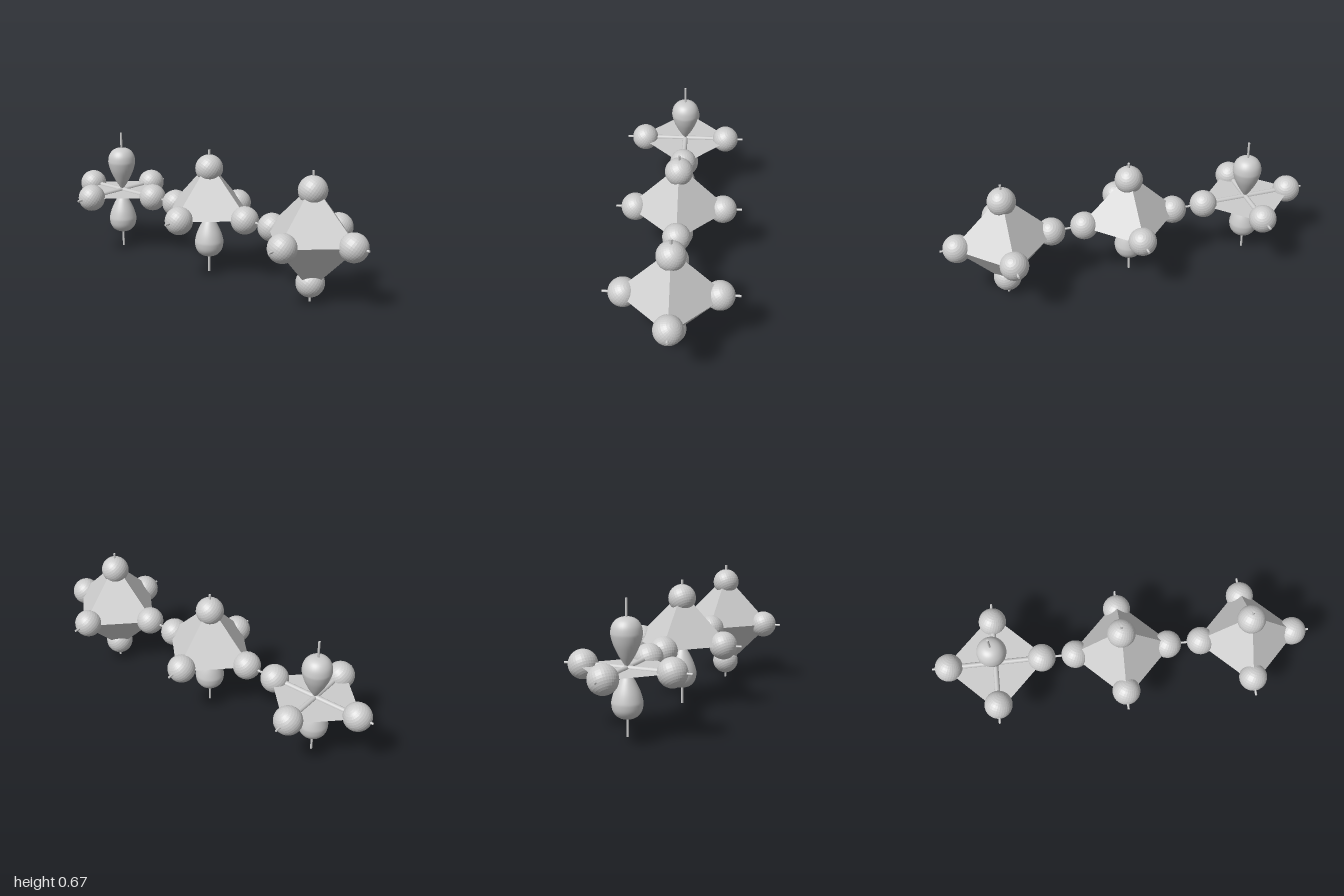
import * as THREE from 'three';

const CENTER_Y = 0.333, AXIS = 0.333, CORNER = 0.27, BALL = 0.073;
const REACH = { x: 0.232, y: 0.235, z: 0.245 };

const smooth = new THREE.MeshStandardMaterial({ color: 0xcccccc });
const faceted = new THREE.MeshStandardMaterial({ color: 0xcccccc, flatShading: true });
const sheet = new THREE.MeshStandardMaterial({ color: 0xcccccc, flatShading: true, side: THREE.DoubleSide });

const UP = new THREE.Vector3(0, 1, 0);
const DIRECTIONS = {
  right: new THREE.Vector3(-1, 0, 0), left: new THREE.Vector3(1, 0, 0),
  front: new THREE.Vector3(0, 0, 1), back: new THREE.Vector3(0, 0, -1),
  top: new THREE.Vector3(0, 1, 0), bottom: new THREE.Vector3(0, -1, 0),
};
const SIDES = ['right', 'left', 'front', 'back'];

function add(group, name, geometry, material) {
  const mesh = new THREE.Mesh(geometry, material);
  mesh.name = name;
  group.add(mesh);
  return mesh;
}

// Rod from the middle outwards along a direction
function rod(group, name, dir, radius, length) {
  const geometry = new THREE.CylinderGeometry(radius, radius, length, 16).translate(0, length / 2, 0);
  add(group, name, geometry, smooth).quaternion.setFromUnitVectors(UP, dir);
}

// Outer ball with its bond
function atom(group, side) {
  const dir = DIRECTIONS[side];
  const reach = dir.x ? REACH.x : dir.y ? REACH.y : REACH.z;
  rod(group, side + 'Bond', dir, 0.014, reach);
  const ball = add(group, side + 'Ball', new THREE.SphereGeometry(BALL, 32, 16), faceted);
  ball.position.copy(dir).multiplyScalar(reach);
  ball.rotation.set(0.4, 0, -0.5);
}

// Teardrop with its tip in the middle
function teardrop(group, name, dir, length, radius) {
  const profile = [[0, 0], [0.16, 0.07], [0.5, 0.24], [0.82, 0.45], [0.98, 0.62], [1, 0.71],
    [0.92, 0.83], [0.7, 0.93], [0.38, 0.985], [0, 1]];
  const curve = new THREE.SplineCurve(profile.map(([r, h]) => new THREE.Vector2(r * radius, h * length)));
  const points = curve.getPoints(36);
  points.forEach((p) => { p.x = Math.max(p.x, 0); });
  add(group, name, new THREE.LatheGeometry(points, 32), smooth).quaternion.setFromUnitVectors(UP, dir);
}

// Big lobe with a small lobe behind it
function lobe(group, side) {
  const dir = DIRECTIONS[side];
  teardrop(group, side + 'Lobe', dir, 0.245, 0.076);
  teardrop(group, side + 'SmallLobe', dir.clone().negate(), 0.1, 0.026);
}

// Four slanted faces meeting at a tip, open underneath
function pyramid(group, name, tipY) {
  const corners = [[CORNER, 0], [0, CORNER], [-CORNER, 0], [0, -CORNER]];
  const positions = [];
  corners.forEach(([x, z], i) => {
    const [nx, nz] = corners[(i + 1) % 4];
    const a = [x, 0, z], b = [nx, 0, nz];
    positions.push(...(tipY > 0 ? [...b, ...a] : [...a, ...b]), 0, tipY, 0);
  });
  const geometry = new THREE.BufferGeometry();
  geometry.setAttribute('position', new THREE.Float32BufferAttribute(positions, 3));
  geometry.computeVertexNormals();
  add(group, name, geometry, sheet);
}

// Centre unit with six thin axes and the chosen balls and lobes
function unit(name, z, balls, lobes) {
  const group = new THREE.Group();
  group.name = name;
  group.position.set(0, CENTER_Y, z);
  for (const side in DIRECTIONS) rod(group, side + 'Axis', DIRECTIONS[side], 0.006, AXIS);
  balls.forEach((side) => atom(group, side));
  lobes.forEach((side) => lobe(group, side));
  return group;
}

export function createModel() {
  const model = new THREE.Group();
  model.name = 'molecularShapes';

  // Full octahedron
  const octahedral = unit('octahedralShape', 0.667, [...SIDES, 'top', 'bottom'], []);
  pyramid(octahedral, 'upperFaces', CORNER);
  pyramid(octahedral, 'lowerFaces', -CORNER);

  // Pyramid with one lobe below
  const pyramidal = unit('squarePyramidShape', 0, [...SIDES, 'top'], ['bottom']);
  pyramid(pyramidal, 'pyramidFaces', CORNER);

  // Flat square with lobes above and below
  const planar = unit('squarePlanarShape', -0.667, SIDES, ['top', 'bottom']);
  const square = new THREE.CircleGeometry(CORNER, 4).rotateX(-Math.PI / 2);
  add(planar, 'squarePlane', square, sheet);

  model.add(octahedral, pyramidal, planar);
  return model;
}
